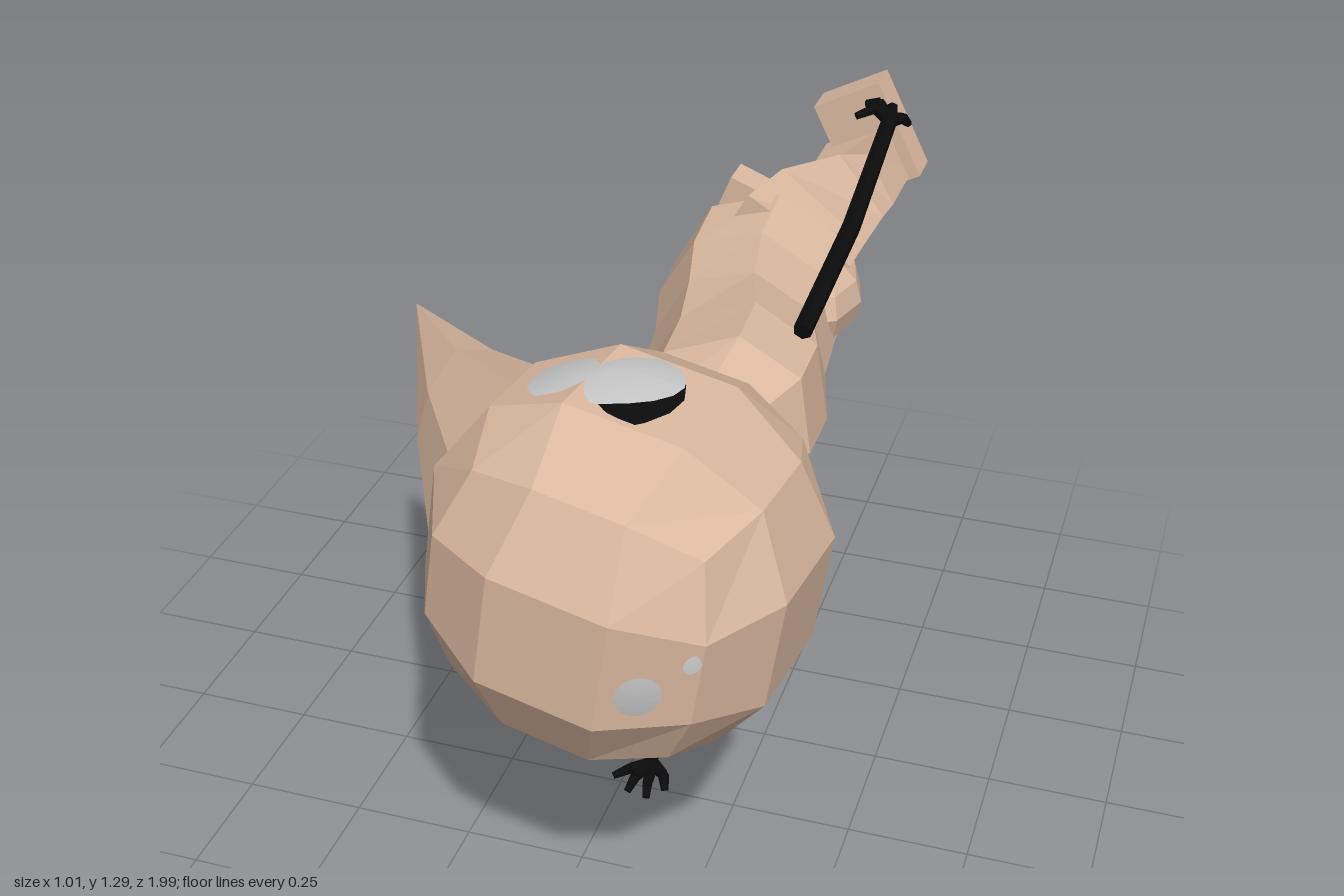
import * as THREE from 'three';

const mat = (name, color, extra = {}) => {
  const m = new THREE.MeshStandardMaterial({ color, ...extra });
  m.name = name;
  return m;
};

// Closed flat-shaded skin through a list of equal-length loops of Vector3
function skin(loops) {
  const pos = [];
  const tri = (...p) => p.forEach(v => pos.push(v.x, v.y, v.z));
  const n = loops[0].length;
  const mid = loop => loop.reduce((s, p) => s.add(p), new THREE.Vector3()).divideScalar(n);
  const first = loops[0], last = loops[loops.length - 1];
  for (let i = 0; i < n; i++) {
    const j = (i + 1) % n;
    for (let s = 0; s < loops.length - 1; s++) {
      const a = loops[s], b = loops[s + 1];
      tri(a[i], b[i], a[j]);
      tri(a[j], b[i], b[j]);
    }
    tri(mid(first), first[i], first[j]);
    tri(mid(last), last[j], last[i]);
  }
  const g = new THREE.BufferGeometry();
  g.setAttribute('position', new THREE.Float32BufferAttribute(pos, 3));
  g.computeVertexNormals();
  return g;
}

// Sections across z: [z, centre x, centre y, angle of the width axis, half width, half depth]
function sections(n, rows) {
  const grow = 1 / Math.cos(Math.PI / n);
  return skin(rows.map(([z, cx, cy, deg, w, d]) => {
    const r = deg * Math.PI / 180, loop = [];
    for (let i = 0; i < n; i++) {
      const t = (i + 0.5) / n * Math.PI * 2;
      const u = Math.cos(t) * w * grow, v = Math.sin(t) * d * grow;
      loop.push(new THREE.Vector3(
        cx + u * Math.cos(r) - v * Math.sin(r), cy + u * Math.sin(r) + v * Math.cos(r), z));
    }
    return loop;
  }));
}

export function createModel() {
  const model = new THREE.Group();
  const tan = mat('skin', 0xdab89f, { flatShading: true });
  const black = mat('black', 0x0b0b0b, { flatShading: true });
  const grey = mat('eye grey', 0xc8c8c8);
  const add = (name, geo, m, parent = model) => {
    const mesh = new THREE.Mesh(geo, m);
    mesh.name = name;
    parent.add(mesh);
    return mesh;
  };

  // Head: box rounded into a ball
  const centre = new THREE.Vector3(0.15, 0.88, 0.64);
  const ball = new THREE.BoxGeometry(2, 2, 2, 3, 3, 3);
  const p = ball.attributes.position, v = new THREE.Vector3();
  for (let i = 0; i < p.count; i++) {
    v.fromBufferAttribute(p, i).normalize().multiplyScalar(0.37);
    p.setXYZ(i, v.x, v.y, v.z);
  }
  ball.computeVertexNormals();
  const head = add('head', ball, tan);
  head.position.copy(centre);
  head.rotation.set(0, -0.12, -0.15);

  // Long pointed nose, from a wide base on the head to the tip
  const base = [
    [-0.05, 1.155, 0.6], [-0.1, 1.05, 0.78], [-0.12, 0.88, 0.86], [-0.13, 0.75, 0.78],
    [-0.1, 0.67, 0.62], [0, 0.77, 0.4], [0.06, 0.93, 0.28], [0.02, 1.06, 0.4],
  ].map(q => new THREE.Vector3(...q));
  const tip = new THREE.Vector3(-0.5, 0.98, 0.05);
  const middle = base.map(q => {
    const m = q.clone().lerp(tip, 0.52);
    m.z += 0.035;
    return m;
  });
  add('nose', skin([base, middle, base.map(() => tip.clone())]), tan);

  // Thin elliptical patches that follow the curve of the head
  const patch = (name, dir, r, rx, rz, m) => {
    const g = new THREE.RingGeometry(0, 1, 18, 4);
    const a = g.attributes.position;
    for (let i = 0; i < a.count; i++) {
      const x = a.getX(i) * rx, z = -a.getY(i) * rz;
      a.setXYZ(i, x, Math.sqrt(r * r - x * x - z * z), z);
    }
    g.computeVertexNormals();
    const mesh = add(name, g, m);
    mesh.position.copy(centre);
    mesh.quaternion.setFromUnitVectors(
      new THREE.Vector3(0, 1, 0), new THREE.Vector3(...dir).normalize());
  };
  patch('leftEyeRim', [-0.07, 0.33, 0.01], 0.35, 0.175, 0.135, black);
  patch('leftEye', [-0.04, 0.33, -0.02], 0.354, 0.14, 0.105, grey);
  patch('rightEyeRim', [-0.19, -0.29, 0.01], 0.35, 0.165, 0.135, black);
  patch('rightEye', [-0.16, -0.3, -0.02], 0.354, 0.13, 0.105, grey);
  patch('largeSpot', [0.13, -0.05, 0.33], 0.358, 0.04, 0.045, grey);
  patch('smallSpot', [0.21, 0.01, 0.29], 0.363, 0.016, 0.018, grey);

  // Body, lying along z
  add('neck', sections(8, [
    [0.4, 0.17, 0.89, 60, 0.09, 0.09], [0.2, 0.17, 0.89, 60, 0.1, 0.1]]), tan);
  add('torso', sections(8, [
    [0.285, 0.17, 0.89, 60, 0.13, 0.12],
    [0.2, 0.18, 0.878, 60, 0.215, 0.17],
    [0.05, 0.172, 0.872, 60, 0.215, 0.175],
    [-0.12, 0.14, 0.885, 60, 0.175, 0.168],
    [-0.28, 0.11, 0.885, 60, 0.185, 0.18],
    [-0.42, 0.105, 0.9, 60, 0.195, 0.18],
    [-0.52, 0.11, 0.9, 60, 0.13, 0.11],
  ]), tan);
  for (const [x, y] of [[0.245, 0.92], [0.17, 0.78]]) {
    const cheek = add('buttock', new THREE.SphereGeometry(0.095, 8, 6), tan);
    cheek.scale.z = 1.5;
    cheek.position.set(x, y, -0.35);
  }

  // Legs and block feet
  add('leftLeg', sections(4, [
    [-0.36, 0.155, 0.985, 60, 0.085, 0.13],
    [-0.5, 0.16, 0.985, 52, 0.09, 0.12],
    [-0.66, 0.195, 0.99, 38, 0.085, 0.085],
    [-0.74, 0.215, 0.985, 30, 0.083, 0.065],
    [-0.95, 0.215, 0.985, 27, 0.083, 0.065],
  ]), tan);
  add('rightLeg', sections(4, [
    [-0.36, 0.06, 0.82, 60, 0.085, 0.13],
    [-0.5, 0.04, 0.80, 62, 0.085, 0.115],
    [-0.66, 0.04, 0.765, 66, 0.08, 0.085],
    [-0.74, 0.05, 0.755, 68, 0.08, 0.065],
    [-0.95, 0.05, 0.752, 68, 0.08, 0.065],
  ]), tan);
  add('leftFoot', sections(4, [
    [-0.91, 0.216, 1.04, 27, 0.083, 0.12], [-1, 0.216, 1.04, 27, 0.083, 0.12]]), tan);
  add('rightFoot', sections(4, [
    [-0.915, -0.015, 0.777, 68, 0.083, 0.135], [-1, -0.015, 0.777, 68, 0.083, 0.135]]), tan);

  // Thin black arms, with fingers that bend once
  const stick = (name, a, b, r1, r2, parent) => {
    const s = new THREE.Vector3(...a), e = new THREE.Vector3(...b);
    const d = e.clone().sub(s);
    const mesh = add(name, new THREE.CylinderGeometry(r2, r1, d.length(), 6), black, parent);
    mesh.position.copy(s).lerp(e, 0.5);
    mesh.quaternion.setFromUnitVectors(new THREE.Vector3(0, 1, 0), d.normalize());
  };
  const arm = (name, path, radii, fingers) => {
    const group = new THREE.Group();
    group.name = name;
    model.add(group);
    for (let i = 0; i < path.length - 1; i++)
      stick('armPart', path[i], path[i + 1], radii[i], radii[i + 1], group);
    const wrist = path[path.length - 1];
    for (const [knuckle, end] of fingers) {
      stick('finger', wrist, knuckle, 0.015, 0.012, group);
      stick('fingerTip', knuckle, end, 0.012, 0.008, group);
    }
  };
  arm('leftArm',
    [[0.33, 1.09, 0.13], [0.347, 1.17, -0.18], [0.345, 1.265, -0.51]], [0.019, 0.019, 0.017], [
      [[0.31, 1.28, -0.53], [0.275, 1.268, -0.505]],
      [[0.315, 1.285, -0.55], [0.285, 1.28, -0.55]],
      [[0.34, 1.275, -0.56], [0.325, 1.245, -0.575]],
      [[0.365, 1.26, -0.545], [0.375, 1.24, -0.565]],
    ]);
  arm('rightArm',
    [[0.072, 0.68, 0.18], [0.077, 0.45, 0.19], [0.055, 0.03, 0.2]], [0.015, 0.015, 0.011], [
      [[0.015, 0.03, 0.23], [-0.018, 0.017, 0.25]],
      [[0.035, 0.035, 0.26], [0.025, 0.012, 0.285]],
      [[0.065, 0.035, 0.265], [0.07, 0.012, 0.292]],
      [[0.09, 0.035, 0.235], [0.1, 0.01, 0.255]],
    ]);
  return model;
}
